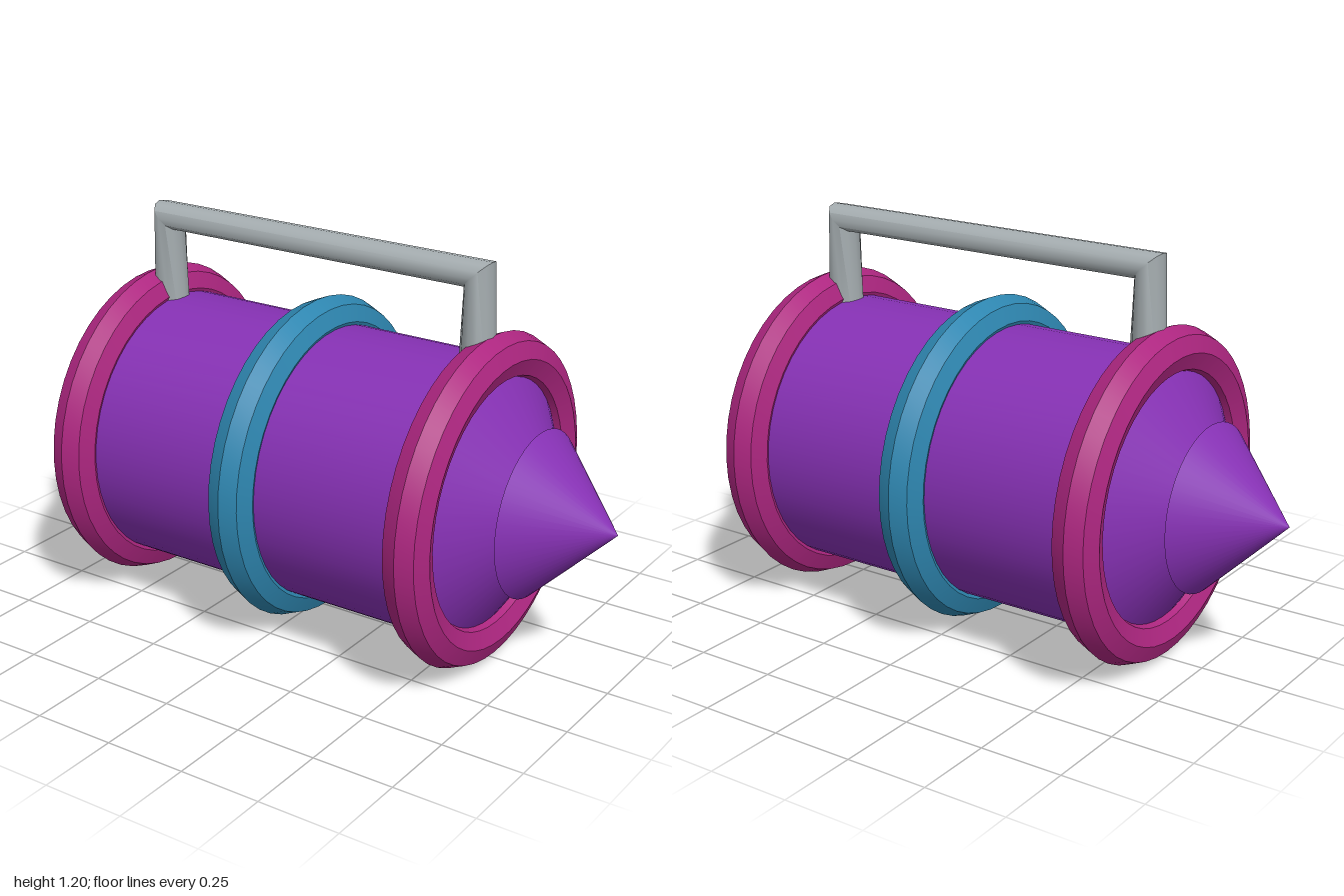
import * as THREE from 'three';
import { toCreasedNormals } from 'three/addons/utils/BufferGeometryUtils.js';

const AXIS_Y = 0.497;

function material(name, color) {
  const m = new THREE.MeshStandardMaterial({ color });
  m.name = name;
  return m;
}

// Surface of revolution about the x axis; profile is [x, radius] from -x to +x
function turned(profile, crease = 0.4) {
  const points = profile.map(([x, r]) => new THREE.Vector2(r, x));
  return toCreasedNormals(new THREE.LatheGeometry(points, 48).rotateZ(-Math.PI / 2), crease);
}

// Loft of squashed rings; each station gives its outer and inner [x, y] edge and half depth
function loft(stations, sides) {
  const pos = [], idx = [];
  for (const { outer, inner, depth } of stations) {
    for (let j = 0; j < sides; j++) {
      const a = (j / sides) * Math.PI * 2;
      const t = (1 + Math.cos(a)) / 2;
      pos.push(
        inner[0] + (outer[0] - inner[0]) * t,
        inner[1] + (outer[1] - inner[1]) * t,
        Math.sin(a) * depth
      );
    }
  }
  for (let i = 0; i < stations.length - 1; i++) {
    for (let j = 0; j < sides; j++) {
      const k = (j + 1) % sides;
      const a = i * sides + j, b = i * sides + k;
      idx.push(a, b, a + sides, b, b + sides, a + sides);
    }
  }
  const g = new THREE.BufferGeometry();
  g.setAttribute('position', new THREE.Float32BufferAttribute(pos, 3));
  g.setIndex(idx);
  return toCreasedNormals(g, 0.9);
}

export function createModel() {
  const purple = material('purple shell', 0x8631b4);
  const magenta = material('magenta rim', 0xad2680);
  const blue = material('blue band', 0x2e86b0);
  const grey = material('grey metal', 0xa5adb0);
  grey.side = THREE.DoubleSide;

  const model = new THREE.Group();
  model.name = 'canister';
  const add = (name, geometry, mat, x = 0, y = AXIS_Y) => {
    const mesh = new THREE.Mesh(geometry, mat);
    mesh.name = name;
    mesh.position.set(x, y, 0);
    model.add(mesh);
    return mesh;
  };

  // Barrel with tapered ends
  add('body', turned([
    [-0.75, 0], [-0.75, 0.17], [-0.583, 0.415],
    [0.583, 0.415], [0.75, 0.17], [0.75, 0],
  ]), purple);

  // Pointed end caps
  const spike = turned([[0.75, 0], [0.75, 0.247], [1, 0]]);
  add('leftSpike', spike, purple);
  add('rightSpike', spike, purple).rotation.y = Math.PI;

  // Octagonal-section hoops
  const hoop = toCreasedNormals(
    new THREE.TorusGeometry(0.425, 0.07, 8, 48).rotateY(Math.PI / 2), 0.4);
  add('leftRim', hoop, magenta, 0.584);
  add('rightRim', hoop, magenta, -0.584);
  add('centreBand', hoop, blue);

  // Carrying handle with mitred corners
  const half = [
    { outer: [-0.595, 0.85], inner: [-0.488, 0.85], depth: 0.058 },
    { outer: [-0.58, 1.205], inner: [-0.502, 1.125], depth: 0.058 },
  ];
  const mirrored = half.map(({ outer, inner, depth }) => (
    { outer: [-outer[0], outer[1]], inner: [-inner[0], inner[1]], depth })).reverse();
  add('handle', loft([...half, ...mirrored], 12), grey, 0, 0);

  return model;
}
